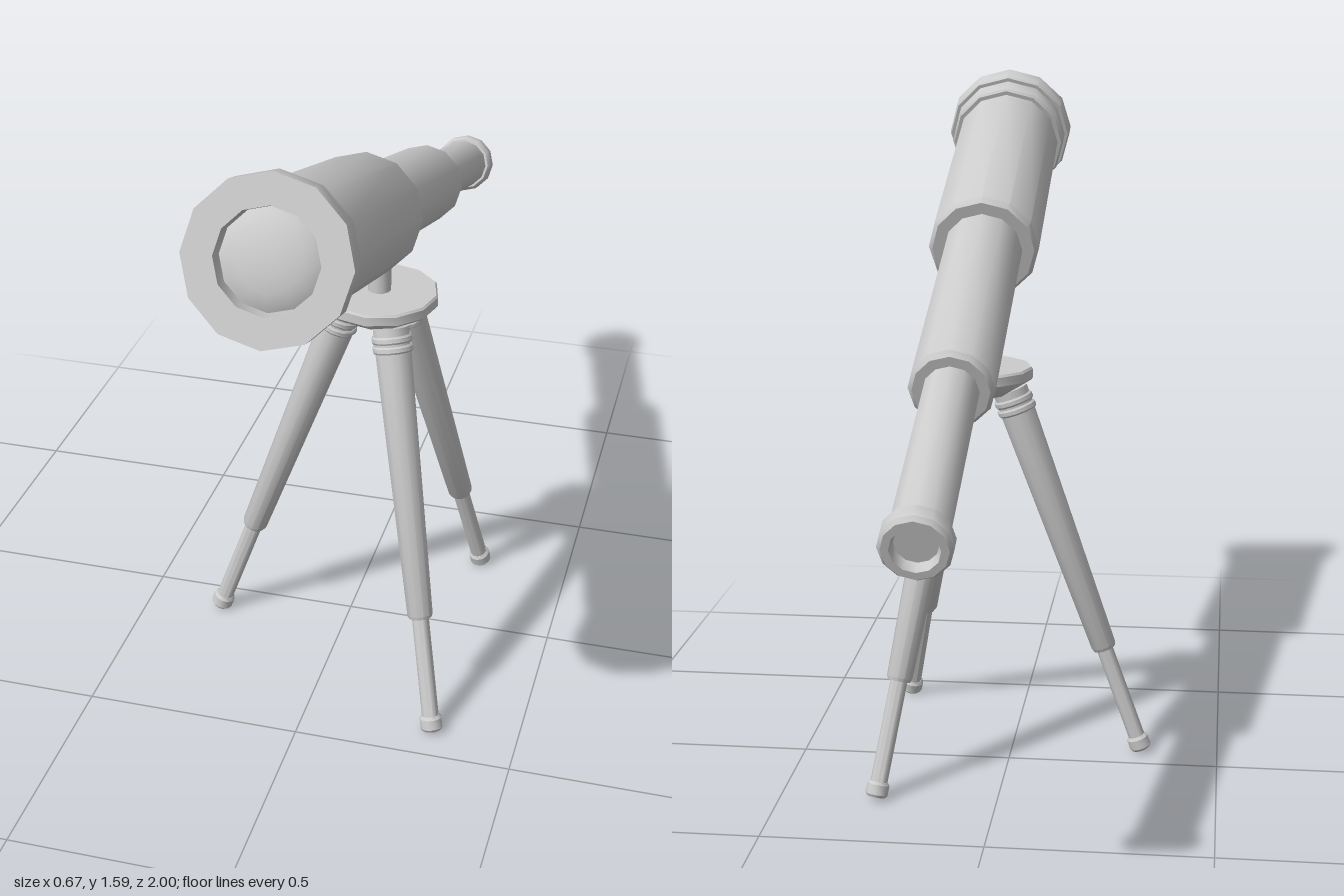
import * as THREE from 'three';
import { toCreasedNormals } from 'three/addons/utils/BufferGeometryUtils.js';

const material = new THREE.MeshStandardMaterial({ color: 0xcccccc });

// Turned part: profile of [radius, height] pairs, 12 sides, crisp edges
function turned(name, profile, crease = 0.6) {
  const points = profile.map(([r, y]) => new THREE.Vector2(r, y));
  const geometry = toCreasedNormals(new THREE.LatheGeometry(points, 12), crease);
  const mesh = new THREE.Mesh(geometry, material);
  mesh.name = name;
  return mesh;
}

// Optical tube, built upward from the eyepiece along its own axis
function createTelescope() {
  const tube = new THREE.Group();
  tube.name = 'opticalTube';
  tube.add(
    turned('eyepiece', [
      [0, 0.025], [0.044, 0.025], [0.05, 0], [0.066, 0], [0.074, 0.01],
      [0.074, 0.044], [0.067, 0.054], [0.058, 0.054],
    ]),
    turned('rearTube', [[0.061, 0.05], [0.061, 0.61]]),
    turned('middleTube', [[0.058, 0.588], [0.084, 0.588], [0.094, 0.601], [0.094, 1.28]]),
    turned('mainTube', [[0.09, 1.263], [0.123, 1.263], [0.133, 1.278], [0.133, 1.93]]),
    turned('innerRing', [[0.13, 1.915], [0.143, 1.915], [0.148, 1.921], [0.148, 1.975]]),
    turned('frontRim', [
      [0.145, 1.972], [0.157, 1.972], [0.161, 1.978], [0.161, 2.025],
      [0.1, 2.025], [0.097, 1.99],
    ]),
    turned('frontLens', [
      [0.098, 1.993], [0.085, 2.002], [0.062, 2.011], [0.033, 2.016], [0, 2.018],
    ]),
  );
  tube.position.set(0.069, 0.815, -0.975);
  tube.rotation.set(THREE.MathUtils.degToRad(90 - 18), 0.0146, 0, 'YXZ');
  return tube;
}

// Tapered leg with collars, sliding lower section and foot
function createLeg(angle) {
  const radial = new THREE.Vector3(Math.cos(angle), 0, Math.sin(angle));
  const foot = radial.clone().multiplyScalar(0.403).setY(0.009);
  const top = radial.clone().multiplyScalar(0.08).setY(0.9);
  const leg = new THREE.Group();
  leg.name = 'leg';
  leg.add(
    turned('foot', [
      [0, 0], [0.021, 0], [0.026, 0.006], [0.026, 0.029], [0.021, 0.036], [0.017, 0.036],
    ]),
    turned('lowerLeg', [[0.02, 0.03], [0.02, 0.29]]),
    turned('upperLeg', [[0.018, 0.27], [0.026, 0.27], [0.03, 0.278], [0.042, 0.9], [0.042, 0.945], [0, 0.945]]),
  );
  for (const y of [0.888, 0.91]) {
    leg.add(turned('legCollar', [
      [0.04, y], [0.044, y], [0.047, y + 0.004], [0.047, y + 0.013], [0.044, y + 0.017], [0.04, y + 0.017],
    ]));
  }
  leg.position.copy(foot);
  leg.quaternion.setFromUnitVectors(new THREE.Vector3(0, 1, 0), top.sub(foot).normalize());
  return leg;
}

function createTripod() {
  const tripod = new THREE.Group();
  tripod.name = 'tripod';
  tripod.add(
    turned('headPlate', [
      [0, 0.885], [0.075, 0.887], [0.131, 0.922], [0.135, 0.927],
      [0.135, 0.948], [0.131, 0.953], [0, 0.953],
    ]),
    turned('pillar', [[0.027, 0.945], [0.027, 1.05]]),
    turned('pillarCap', [
      [0.025, 1.038], [0.034, 1.038], [0.038, 1.043], [0.038, 1.072], [0.033, 1.078], [0, 1.078],
    ]),
  );
  // Three legs evenly spread, slightly turned
  for (const degrees of [180, 57.5, -61.8]) {
    tripod.add(createLeg(THREE.MathUtils.degToRad(degrees)));
  }
  tripod.position.set(0.087, 0, 0.079);
  return tripod;
}

export function createModel() {
  const model = new THREE.Group();
  model.name = 'telescope';
  model.add(createTelescope(), createTripod());
  return model;
}
